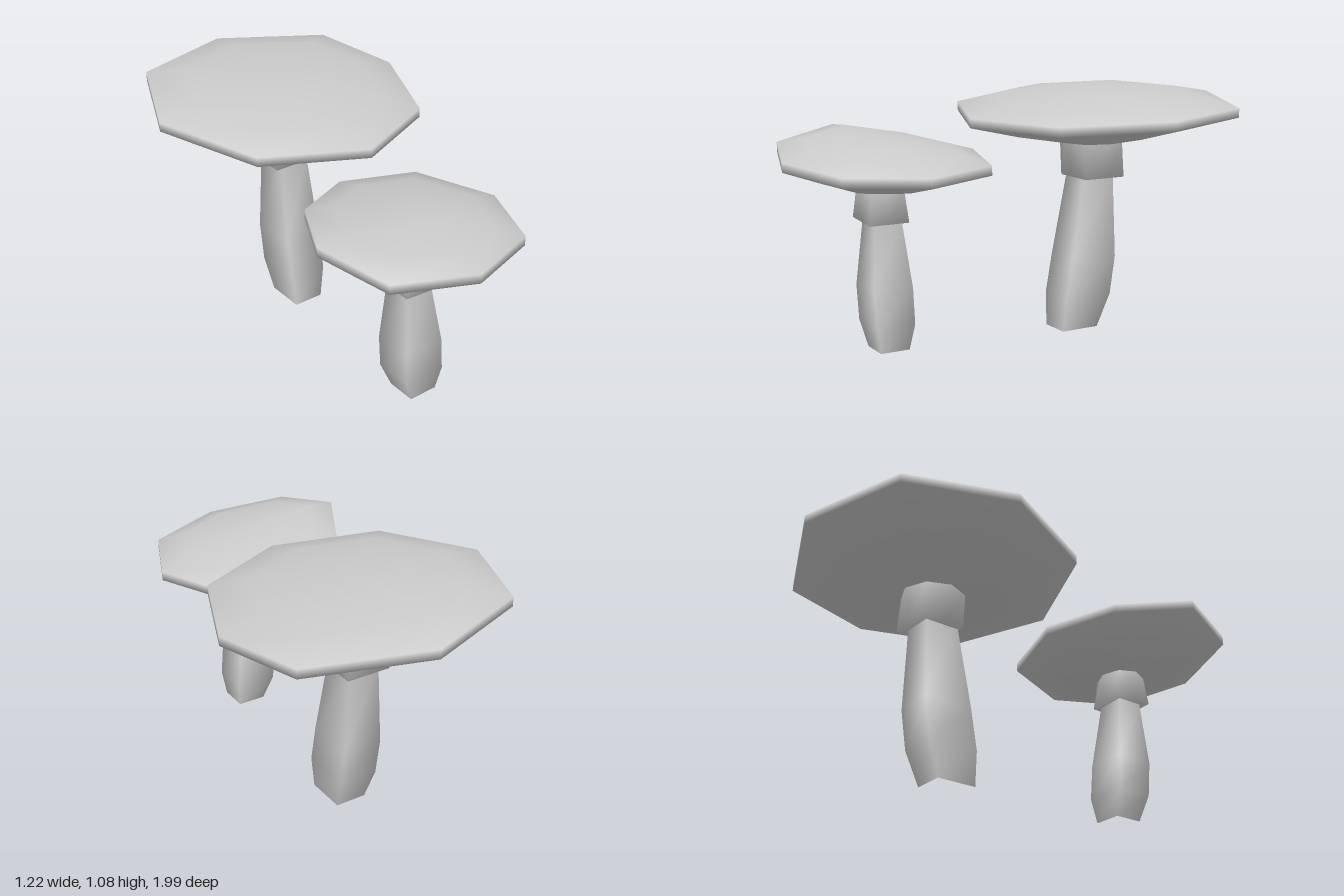
import * as THREE from 'three';

const material = new THREE.MeshStandardMaterial({ color: 0xcccccc });

// Skin a stack of rings (bottom to top, each a list of Vector3); optional end centres close it.
function loft(name, rings, bottomCentre, topCentre) {
  const n = rings[0].length;
  const points = rings.flat();
  const index = [];
  for (let i = 0; i < rings.length - 1; i++) {
    for (let j = 0; j < n; j++) {
      const a = i * n + j, b = i * n + (j + 1) % n;
      index.push(a, a + n, b, b, a + n, b + n);
    }
  }
  const last = (rings.length - 1) * n;
  if (bottomCentre) {
    const c = points.push(bottomCentre) - 1;
    for (let j = 0; j < n; j++) index.push(j, (j + 1) % n, c);
  }
  if (topCentre) {
    const c = points.push(topCentre) - 1;
    for (let j = 0; j < n; j++) index.push(last + j, c, last + (j + 1) % n);
  }
  const geometry = new THREE.BufferGeometry().setFromPoints(points);
  geometry.setIndex(index);
  geometry.computeVertexNormals();
  const mesh = new THREE.Mesh(geometry, material);
  mesh.name = name;
  return mesh;
}

// Eight points around a centre; square pushes the diagonals out to corners.
function eightRing(cx, cz, r, height, square = false) {
  return Array.from({ length: 8 }, (_, k) => {
    const t = k * Math.PI / 4;
    const s = square && k % 2 ? r * Math.SQRT2 : r;
    const x = cx + s * Math.cos(t);
    return new THREE.Vector3(x, height(x), cz + s * Math.sin(t));
  });
}

function mushroom(name, m) {
  const group = new THREE.Group();
  group.name = name;

  // Four-sided bent stem, open at the foot: [y, xMin, xMax, zMin, zMax]
  group.add(loft('stem', m.stem.map(([y, x0, x1, z0, z1]) => [
    new THREE.Vector3(x1, y, z0), new THREE.Vector3(x1, y, z1),
    new THREE.Vector3(x0, y, z1), new THREE.Vector3(x0, y, z0),
  ])));

  // Collar blending from a square foot into the cap's octagon
  const { x, z, topZ, foot, footY, neck, neckY, tilt } = m.collar;
  const neckHeight = px => neckY + tilt * (px - x);
  const footRing = eightRing(x, z, foot, px => footY + tilt * (px - x), true);
  const neckRing = eightRing(x, topZ, neck, neckHeight);
  group.add(loft('collar', [footRing, neckRing], new THREE.Vector3(x, footY, z)));

  // Tilted lens-shaped cap: underside, thin rim, shallow dome
  const rim = m.rim.map(p => new THREE.Vector3(...p));
  const centre = new THREE.Vector3(x, m.rimY, topZ);
  const rise = (ring, dy) => ring.map(p => p.clone().setY(p.y + dy));
  const under = rise(rim, -0.02);
  const middle = under.map((p, k) => {
    const q = p.clone().lerp(neckRing[k], 0.5);
    q.y -= 0.006;
    return q;
  });
  const inner = (scale, dy) => rise(rim.map(p => centre.clone().lerp(p, scale)), dy);
  group.add(loft('cap', [
    neckRing, middle, under, rise(rim, 0.02),
    inner(0.72, 0.02 + m.dome * 0.55), inner(0.38, 0.02 + m.dome * 0.92),
  ], new THREE.Vector3(x, neckY, topZ), new THREE.Vector3(x, m.rimY + 0.02 + m.dome, topZ)));
  return group;
}

export function createModel() {
  const model = new THREE.Group();
  model.name = 'mushrooms';

  const largeHeight = (x, z) => 0.985 - 0.045 * x - 0.06 * (z + 0.4);
  model.add(mushroom('largeMushroom', {
    stem: [
      [0, -0.075, 0.065, -0.40, -0.22],
      [0.15, -0.09, 0.085, -0.455, -0.225],
      [0.32, -0.09, 0.085, -0.48, -0.255],
      [0.70, -0.07, 0.065, -0.475, -0.32],
    ],
    collar: { x: 0, z: -0.41, topZ: -0.40, foot: 0.1, footY: 0.68, neck: 0.14, neckY: 0.835, tilt: 0 },
    rim: [
      [0.605, -0.40], [0.42, 0.03], [0.01, 0.21], [-0.43, 0.04],
      [-0.61, -0.40], [-0.42, -0.84], [0.05, -1.0], [0.52, -0.80],
    ].map(([x, z]) => [x, largeHeight(x, z), z]),
    rimY: 0.985,
    dome: 0.066,
  }));

  model.add(mushroom('smallMushroom', {
    stem: [
      [0.02, -0.11, 0.02, 0.51, 0.64],
      [0.13, -0.155, 0.035, 0.49, 0.66],
      [0.28, -0.165, 0.02, 0.49, 0.665],
      [0.57, -0.15, -0.03, 0.515, 0.635],
    ],
    collar: { x: -0.09, z: 0.58, topZ: 0.58, foot: 0.088, footY: 0.56, neck: 0.105, neckY: 0.69, tilt: -0.07 },
    rim: [
      [0.365, 0.772, 0.565], [0.23, 0.78, 0.875], [-0.11, 0.805, 0.99], [-0.455, 0.845, 0.89],
      [-0.555, 0.893, 0.60], [-0.385, 0.845, 0.29], [-0.10, 0.805, 0.14], [0.23, 0.78, 0.23],
    ],
    rimY: 0.83,
    dome: 0.05,
  }));
  return model;
}
